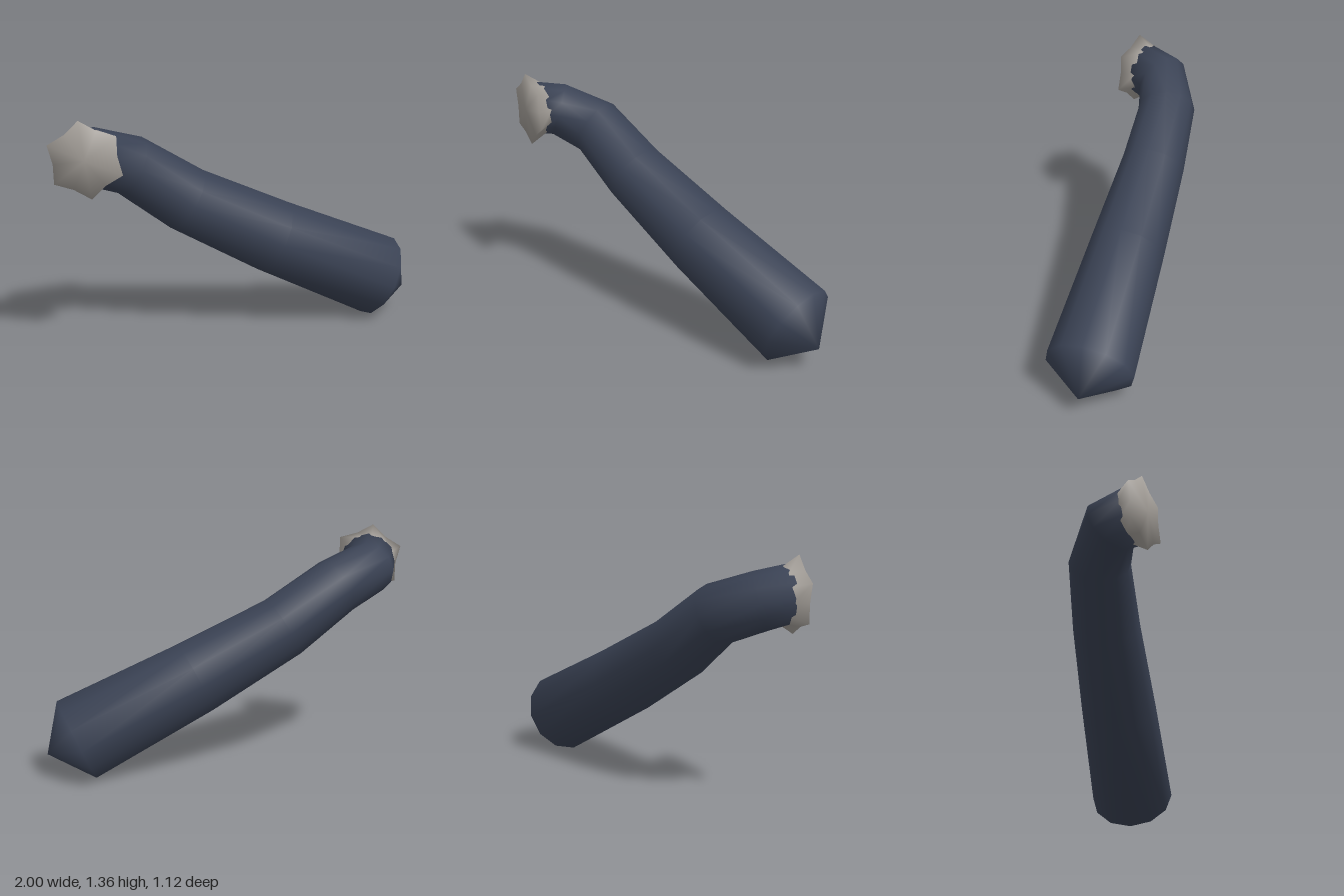
import * as THREE from 'three';
import { mergeVertices } from 'three/addons/utils/BufferGeometryUtils.js';

const SIDES = 12;
const V = (x, y, z) => new THREE.Vector3(x, y, z);

// Smooth skin through equal-sized rings that run counterclockwise about the path
function loft(rings) {
  const pos = [], index = [];
  rings.forEach(ring => ring.forEach(p => pos.push(p.x, p.y, p.z)));
  for (let i = 0; i < rings.length - 1; i++) {
    for (let j = 0; j < SIDES; j++) {
      const a = i * SIDES + j, b = i * SIDES + (j + 1) % SIDES;
      index.push(a, b, a + SIDES, b, b + SIDES, a + SIDES);
    }
  }
  const geo = new THREE.BufferGeometry();
  geo.setAttribute('position', new THREE.Float32BufferAttribute(pos, 3));
  geo.setIndex(index);
  const welded = mergeVertices(geo, 1e-5);
  welded.computeVertexNormals();
  return welded;
}

// Ring around a centre, square to a tangent; radius may vary with the corner
function makeRing(centre, tangent, radiusAt, phase = 0) {
  const t = tangent.clone().normalize();
  const up = V(0, 1, 0).addScaledVector(t, -t.y).normalize();
  const side = t.clone().cross(up);
  return Array.from({ length: SIDES }, (_, j) => {
    const a = phase + (j / SIDES) * Math.PI * 2, r = radiusAt(j);
    return centre.clone().addScaledVector(up, Math.cos(a) * r).addScaledVector(side, Math.sin(a) * r);
  });
}

export function createModel() {
  const model = new THREE.Group();
  const navy = new THREE.MeshStandardMaterial({ color: 0x3a4254 });
  navy.name = 'navy';
  const grey = new THREE.MeshStandardMaterial({ color: 0xa39e98 });
  grey.name = 'warmGrey';

  // Bent, widening limb: centre and radius of each ring, pointed far end
  const path = [
    [V(-0.80, 1.155, 0.475), 0.162],
    [V(-0.80, 1.13, 0.34), 0.16],
    [V(-0.61, 1.045, 0.178), 0.17],
    [V(-0.305, 0.82, 0.065), 0.19],
    [V(0.19, 0.55, -0.104), 0.22],
    [V(0.838, 0.23, -0.33), 0.25],
  ];
  const dir = i => path[i + 1][0].clone().sub(path[i][0]).normalize();
  const last = path.length - 1;
  const rings = path.map(([c, r], i) => {
    const t = i === 0 ? V(0, 0, -1) : i === last ? dir(i - 1) : dir(i - 1).add(dir(i));
    return makeRing(c, t, () => r);
  });
  rings.unshift(Array(SIDES).fill(path[0][0]));
  rings.push(Array(SIDES).fill(V(0.998, 0.15, -0.375)));
  const limb = new THREE.Mesh(loft(rings), navy);
  limb.name = 'limb';
  model.add(limb);

  // Six-pointed flared cap with a shallow domed face
  const forward = V(0, 0, 1), phase = THREE.MathUtils.degToRad(8);
  const cap = new THREE.Mesh(loft([
    makeRing(V(-0.80, 1.155, 0.45), forward, () => 0.155, phase),
    makeRing(V(-0.80, 1.155, 0.537), forward, j => (j % 2 ? 0.172 : 0.213), phase),
    Array(SIDES).fill(V(-0.80, 1.155, 0.556)),
  ]), grey);
  cap.name = 'starCap';
  model.add(cap);

  return model;
}
